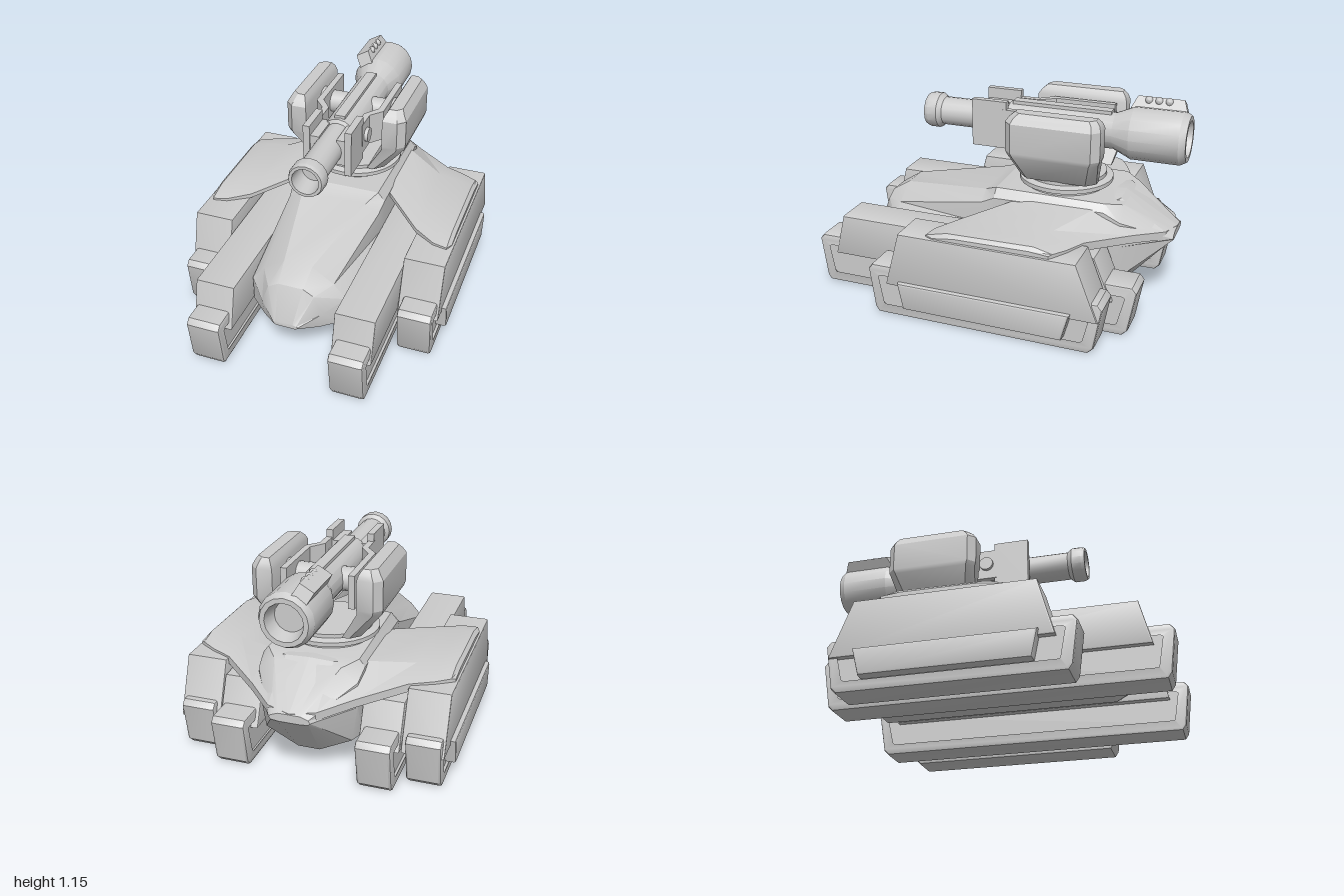
import * as THREE from 'three';
import { toCreasedNormals } from 'three/addons/utils/BufferGeometryUtils.js';

const material = new THREE.MeshStandardMaterial({ color: 0xcccccc, side: THREE.DoubleSide });

function add(parent, name, geo, crease = 0.6) {
  const mesh = new THREE.Mesh(toCreasedNormals(geo, crease), material);
  mesh.name = name;
  parent.add(mesh);
}

// Mirror across x = 0, keeping the faces outward
function mirrored(geo) {
  const src = (geo.index ? geo.toNonIndexed() : geo).getAttribute('position');
  const out = [];
  for (let i = 0; i < src.count; i += 3)
    for (const k of [0, 2, 1]) out.push(-src.getX(i + k), src.getY(i + k), src.getZ(i + k));
  const g = new THREE.BufferGeometry();
  g.setAttribute('position', new THREE.Float32BufferAttribute(out, 3));
  return g;
}

function addPair(parent, name, geo, crease) {
  add(parent, 'left' + name, geo, crease);
  add(parent, 'right' + name, mirrored(geo), crease);
}

// Skin between rings of equal point count, with both ends capped
function loft(rings) {
  const n = rings[0].length, pos = [];
  const tri = (a, b, c) => pos.push(...a, ...b, ...c);
  for (let r = 0; r < rings.length - 1; r++) {
    const a = rings[r], b = rings[r + 1];
    for (let i = 0; i < n; i++) {
      const j = (i + 1) % n;
      tri(a[i], a[j], b[j]);
      tri(a[i], b[j], b[i]);
    }
  }
  const first = rings[0], last = rings[rings.length - 1];
  for (let i = 1; i < n - 1; i++) {
    tri(first[0], first[i + 1], first[i]);
    tri(last[0], last[i], last[i + 1]);
  }
  const g = new THREE.BufferGeometry();
  g.setAttribute('position', new THREE.Float32BufferAttribute(pos, 3));
  return g;
}

// Side profile of [z, y] points extruded from x0 to x1
function sideExtrude(pts, x0, x1, bevel = 0, hole = null) {
  const toVec = ([z, y]) => new THREE.Vector2(-z, y);
  const shape = new THREE.Shape(pts.map(toVec));
  if (hole) shape.holes.push(new THREE.Path(hole.map(toVec)));
  const g = new THREE.ExtrudeGeometry(shape, {
    depth: x1 - x0 - 2 * bevel, bevelEnabled: bevel > 0, bevelThickness: bevel,
    bevelSize: bevel, bevelOffset: -bevel, bevelSegments: 2,
  });
  return g.rotateY(Math.PI / 2).translate(x0 + bevel, 0, 0);
}

const box = (x0, x1, y0, y1, z0, z1) => new THREE.BoxGeometry(x1 - x0, y1 - y0, z1 - z0)
  .translate((x0 + x1) / 2, (y0 + y1) / 2, (z0 + z1) / 2);

const axle = (r, x0, x1, y, z) => new THREE.CylinderGeometry(r, r, x1 - x0, 16)
  .rotateZ(Math.PI / 2).translate((x0 + x1) / 2, y, z);

// Belt outline, optionally inset by d
const beltOutline = (f, b, d = 0) => [
  [f - 0.05 - d * 0.8, d], [f - 0.03 - d, 0.03 + d * 0.7], [f - d, 0.26 - d * 0.7], [f - 0.025 - d, 0.29 - d],
  [b + 0.025 + d, 0.29 - d], [b + d, 0.26 - d * 0.7], [b + 0.04 + d, 0.03 + d * 0.7], [b + 0.07 + d * 0.8, d],
];

function buildTracks(root) {
  const tracks = new THREE.Group();
  tracks.name = 'tracks';
  root.add(tracks);
  for (const [name, x0, x1, front, back] of [
    ['InnerTrack', 0.30, 0.49, 1.0, -0.87], ['OuterTrack', 0.53, 0.72, 0.56, -0.75]]) {
    addPair(tracks, name + 'Belt', sideExtrude(beltOutline(front, back), x0, x1, 0.015, beltOutline(front, back, 0.045)));
    addPair(tracks, name + 'Core', sideExtrude(beltOutline(front, back, 0.02), x0 + 0.02, x1 - 0.02));
  }
  // Armoured covers above the belts, with the outer skirt panel
  addPair(tracks, 'InnerCover', sideExtrude([[0.89, 0.19], [0.83, 0.43], [-0.64, 0.43], [-0.74, 0.19]], 0.28, 0.5, 0.008));
  addPair(tracks, 'OuterCover', sideExtrude([[0.45, 0.19], [0.365, 0.5], [-0.61, 0.5], [-0.73, 0.19]], 0.505, 0.733, 0.008));
  addPair(tracks, 'TrackLink', box(0.48, 0.54, 0.19, 0.23, -0.7, 0.42));
  addPair(tracks, 'SkirtPanel', sideExtrude([[0.37, 0.22], [0.34, 0.07], [-0.55, 0.07], [-0.59, 0.22]], 0.65, 0.76, 0.012));
}

function buildHull(root) {
  // Each section: z, then half outline from keel to deck
  const sections = [
    [-0.97, [0.06, 0.405], [0.1, 0.41], [0.11, 0.42], [0.1, 0.435], [0.06, 0.45]],
    [-0.71, [0.06, 0.11], [0.24, 0.2], [0.27, 0.4], [0.27, 0.54], [0.18, 0.61]],
    [-0.62, [0.06, 0.11], [0.27, 0.2], [0.28, 0.4], [0.28, 0.59], [0.25, 0.63]],
    [0.0, [0.06, 0.11], [0.27, 0.2], [0.28, 0.42], [0.28, 0.58], [0.24, 0.63]],
    [0.08, [0.06, 0.11], [0.27, 0.2], [0.28, 0.42], [0.27, 0.54], [0.19, 0.59]],
    [0.62, [0.06, 0.11], [0.27, 0.2], [0.27, 0.35], [0.2, 0.43], [0.08, 0.515]],
    [0.73, [0.06, 0.17], [0.16, 0.215], [0.17, 0.3], [0.13, 0.41], [0.07, 0.445]],
    [0.815, [0.05, 0.235], [0.065, 0.24], [0.07, 0.25], [0.06, 0.255], [0.04, 0.26]],
  ];
  add(root, 'hull', loft(sections.map(([z, ...half]) => [
    ...half.map(([x, y]) => [x, y, z]),
    ...half.slice().reverse().map(([x, y]) => [-x, y, z]),
  ])), 0.45);

  // Swept deck wings: x, front z, front y, crest z, crest y, back z, back y
  const stations = [
    [0, -0.2, 0.61, -0.68, 0.63, -0.97, 0.455],
    [0.13, -0.2, 0.61, -0.68, 0.625, -0.93, 0.465],
    [0.28, -0.1, 0.575, -0.56, 0.595, -0.78, 0.485],
    [0.5, 0.12, 0.525, -0.42, 0.553, -0.585, 0.51],
    [0.62, 0.2, 0.515, -0.4, 0.548, -0.53, 0.515],
    [0.7, 0.215, 0.51, -0.38, 0.545, -0.48, 0.52],
    [0.72, 0.17, 0.505, -0.36, 0.525, -0.465, 0.515],
  ];
  addPair(root, 'DeckWing', loft(stations.map(([x, fz, fy, cz, cy, bz, by]) => [
    [x, fy - 0.025, fz], [x, by - 0.045, bz], [x, by, bz], [x, cy, cz],
    [x, fy + (cy - fy) * 0.8, fz - 0.12], [x, fy, fz],
  ])), 0.35);
}

function buildTurret(root) {
  const turret = new THREE.Group();
  turret.name = 'turret';
  root.add(turret);
  const ring = [[0, 0.6], [0.23, 0.6], [0.23, 0.645], [0.262, 0.652], [0.262, 0.675], [0.225, 0.685], [0.225, 0.705], [0, 0.705]];
  add(turret, 'turretRing', new THREE.LatheGeometry(ring.map(p => new THREE.Vector2(...p)), 32).translate(0, 0, -0.33));

  // Yoke arms: y, inner x, outer x, back z, front z, chamfer
  const levels = [
    [0.7, 0.13, 0.22, -0.55, -0.12, 0.05], [0.86, 0.225, 0.345, -0.59, -0.09, 0.04],
    [0.885, 0.225, 0.352, -0.6, -0.08, 0.04], [1.045, 0.225, 0.352, -0.6, -0.08, 0.04],
    [1.075, 0.235, 0.335, -0.59, -0.1, 0.035], [1.1, 0.25, 0.32, -0.57, -0.13, 0.03],
  ];
  addPair(turret, 'YokeArm', loft(levels.map(([y, x0, x1, z0, z1, c]) => [
    [x0, y, z0], [x0, y, z1], [x1 - c, y, z1], [x1, y, z1 - c], [x1, y, z0 + c], [x1 - c, y, z0],
  ])), 0.4);
  addPair(turret, 'Trunnion', axle(0.065, 0.06, 0.24, 0.957, -0.37));
  addPair(turret, 'TrunnionCollar', axle(0.078, 0.2, 0.23, 0.957, -0.37));
}

function buildCannon(root) {
  const cannon = new THREE.Group();
  cannon.name = 'cannon';
  root.add(cannon);
  const axisY = 0.957;
  // Radius and z, from the rear bore to the muzzle bore
  const profile = [[0, -0.92], [0.08, -0.92], [0.1, -1], [0.125, -1], [0.144, -0.965], [0.144, -0.7], [0.1, -0.6],
    [0.1, 0], [0.08, 0.01], [0.08, 0.4], [0.1, 0.425], [0.1, 0.48], [0.092, 0.5], [0.075, 0.5], [0.065, 0.38], [0, 0.38]];
  add(cannon, 'barrel', new THREE.LatheGeometry(profile.map(p => new THREE.Vector2(...p)), 16)
    .rotateX(Math.PI / 2).translate(0, axisY, 0), 0.42);
  add(cannon, 'barrelRidge', box(-0.03, 0.03, 1.02, 1.07, -0.58, -0.02));

  // Bent side rails and the cheek plates at their front
  const rail = new THREE.Shape([[0.165, -0.55], [0.2, -0.55], [0.2, -0.19], [0.14, -0.12], [0.14, 0], [0.105, 0],
    [0.105, -0.13], [0.165, -0.21]].map(p => new THREE.Vector2(...p)));
  addPair(cannon, 'SideRail', new THREE.ExtrudeGeometry(rail, { depth: 0.18, bevelEnabled: false })
    .rotateX(Math.PI / 2).translate(0, 1.047, 0));
  addPair(cannon, 'CheekPlate', box(0.1, 0.138, 0.825, 1.09, -0.02, 0.18));
  addPair(cannon, 'CheekBracket', box(0.05, 0.11, 0.88, 1.03, -0.02, 0.17));
  addPair(cannon, 'CheekPin', axle(0.04, 0.08, 0.16, 0.957, -0.065));

  // Tilted sight box with a row of studs
  const sight = new THREE.Group();
  sight.name = 'sight';
  sight.position.set(-0.085, 1.1, 0);
  sight.rotation.z = Math.PI / 6;
  add(sight, 'sightBox', sideExtrude([[-0.67, -0.04], [-0.7, 0.03], [-0.95, 0.03], [-0.975, -0.04]], -0.042, 0.042));
  for (const z of [-0.76, -0.815, -0.87])
    add(sight, 'sightStud', new THREE.SphereGeometry(0.022, 12, 8).translate(0.035, 0.012, z), 1);
  cannon.add(sight);
}

export function createModel() {
  const root = new THREE.Group();
  root.name = 'tank';
  buildTracks(root);
  buildHull(root);
  buildTurret(root);
  buildCannon(root);
  return root;
}
